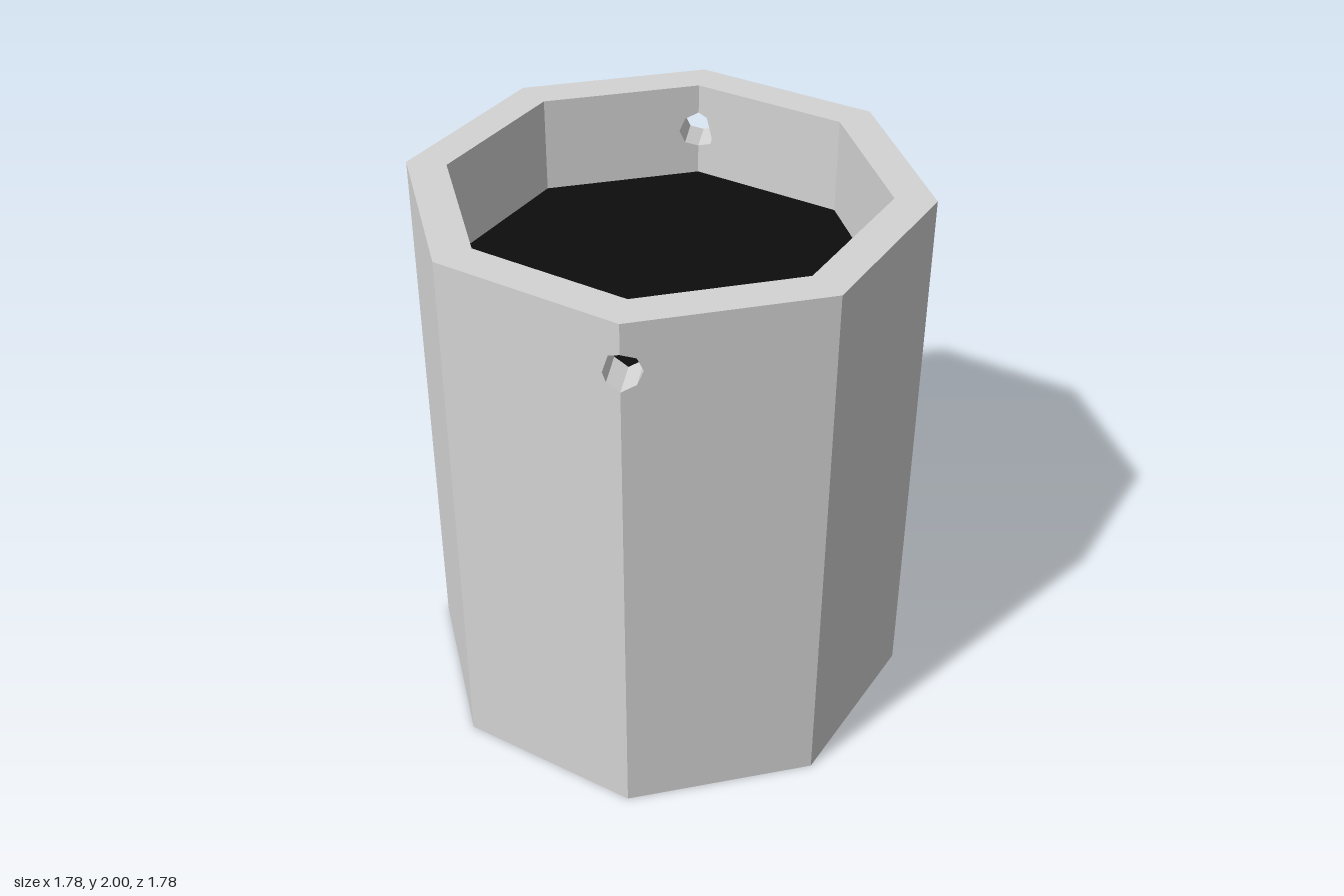
import * as THREE from 'three';

const OUTER = 0.89, INNER = 0.75, HEIGHT = 2;
const HOLE_Y = 1.825, HOLE_R = 0.067;
const SIN45 = Math.SQRT1_2, SLOPE = Math.tan(Math.PI / 8);

// One eighth of the octagonal wall, from the corner on +z towards side * x.
// A notched segment carries half of the round handle hole on its corner edge.
function wallSegment(side, notched) {
  const points = [[0, 0], [1, 0], [1, HEIGHT], [0, HEIGHT]];
  if (notched) {
    for (let i = 4; i >= 0; i--) {
      const a = -Math.PI / 2 + i * Math.PI / 4;
      points.push([i % 4 ? HOLE_R * Math.cos(a) : 0, HOLE_Y + HOLE_R * Math.sin(a)]);
    }
  }
  const shape = new THREE.Shape(points.map(([x, y]) => new THREE.Vector2(side * x, y)));
  const geometry = new THREE.ExtrudeGeometry(shape, { depth: 1, bevelEnabled: false });

  // Lean the flat slab onto the octagon: depth 0 is the inner face, 1 the outer
  const p = geometry.attributes.position;
  for (let i = 0; i < p.count; i++) {
    const radius = THREE.MathUtils.lerp(INNER, OUTER, p.getZ(i));
    let x = Math.abs(p.getX(i));
    if (x > 0.5) x = radius * SIN45;
    p.setX(i, side * x);
    p.setZ(i, radius - x * SLOPE);
  }
  geometry.computeVertexNormals();
  return geometry;
}

export function createModel() {
  const grey = new THREE.MeshStandardMaterial({ color: 0xd4d4d4 });
  grey.name = 'light grey';
  const black = new THREE.MeshStandardMaterial({ color: 0x0d0d0d });
  black.name = 'black';

  const model = new THREE.Group();
  model.name = 'bucket';

  // Octagonal wall, with handle holes through the front and back corners
  const wall = new THREE.Group();
  wall.name = 'wall';
  for (let k = 0; k < 4; k++) {
    for (const side of [-1, 1]) {
      const segment = new THREE.Mesh(wallSegment(side, k % 2 === 0), grey);
      segment.name = 'wallSegment';
      segment.rotation.y = k * Math.PI / 2;
      wall.add(segment);
    }
  }
  model.add(wall);

  // Base plate, set slightly up inside the wall
  const base = new THREE.Mesh(new THREE.CylinderGeometry(INNER, INNER, 0.08, 8), grey);
  base.name = 'basePlate';
  base.position.y = 0.1;
  model.add(base);

  // Dark filling surface below the holes
  const filling = new THREE.Mesh(new THREE.CylinderGeometry(INNER, INNER, 0.008, 8), black);
  filling.name = 'fillingSurface';
  filling.position.y = 1.646;
  model.add(filling);

  return model;
}
